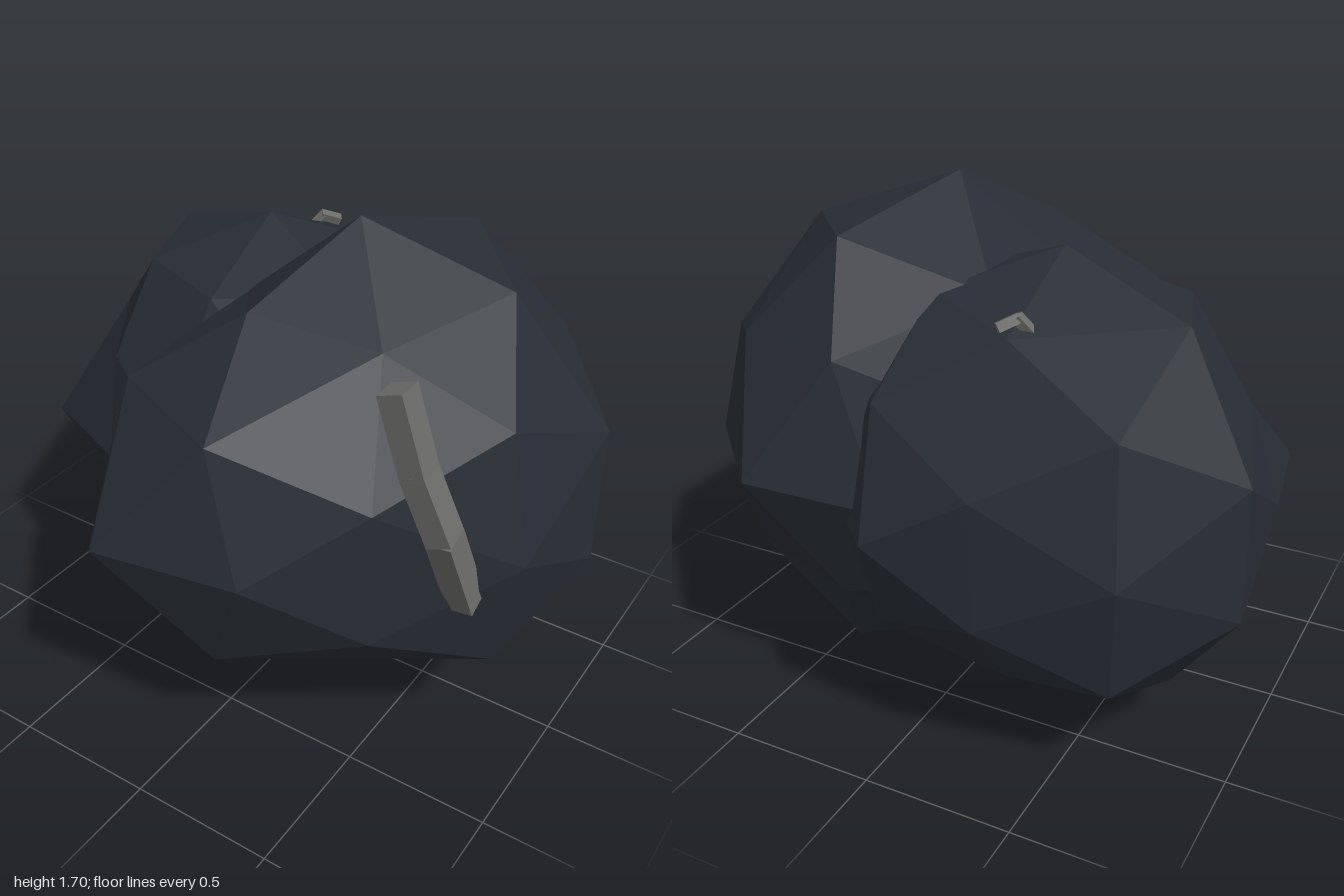
import * as THREE from 'three';

const rock = new THREE.MeshStandardMaterial({ color: 0x282d35, flatShading: true });
const seam = new THREE.MeshStandardMaterial({ color: 0x6b6b69, flatShading: true });

// Faceted lump: a subdivided icosahedron whose nearby corners are pulled to the given points.
// The points describe the upper half and are mirrored below the centre.
function lump(name, radius, centre, turn, corners) {
  const geo = new THREE.IcosahedronGeometry(radius, 1);
  geo.rotateY(turn);
  geo.translate(...centre);
  const targets = corners.flatMap(([x, y, z]) => [
    new THREE.Vector3(x, y, z), new THREE.Vector3(x, 2 * centre[1] - y, z),
  ]);
  const pos = geo.attributes.position;
  const p = new THREE.Vector3();
  for (let i = 0; i < pos.count; i++) {
    p.fromBufferAttribute(pos, i);
    const near = targets.find(t => t.distanceTo(p) < 0.24);
    if (near) pos.setXYZ(i, near.x, near.y, near.z);
  }
  geo.computeVertexNormals();
  const mesh = new THREE.Mesh(geo, rock);
  mesh.name = name;
  return mesh;
}

// Bent bar: a box for each stretch between neighbouring points
function strip(name, points, width, depth) {
  const group = new THREE.Group();
  group.name = name;
  const pts = points.map(p => new THREE.Vector3(...p));
  for (let i = 0; i < pts.length - 1; i++) {
    const length = pts[i].distanceTo(pts[i + 1]);
    const bar = new THREE.Mesh(new THREE.BoxGeometry(depth, width, length + 0.015), seam);
    bar.name = name + 'Segment';
    bar.position.copy(pts[i]).lerp(pts[i + 1], 0.5);
    bar.up.set(0, 0, 1);
    bar.lookAt(pts[i + 1]);
    group.add(bar);
  }
  return group;
}

export function createModel() {
  const model = new THREE.Group();
  model.name = 'boulder';

  // Large lump on the model's left
  model.add(lump('largeLump', 0.85, [0.18, 0.85, 0], -1.92, [
    // top, then the ring around it
    [0.18, 1.7, -0.02], [0.67, 1.53, -0.12], [0.45, 1.44, 0.29], [0.04, 1.5, 0.39],
    [-0.2, 1.38, 0.06], [-0.13, 1.42, -0.38], [0.35, 1.57, -0.49],
    // shoulder
    [0.14, 1.25, 0.75], [-0.31, 1.25, 0.55], [0.6, 1.09, 0.58], [0.86, 1.28, 0.23],
    [0.99, 1.1, -0.21], [0.68, 1.23, -0.56], [0.25, 1.25, -0.7], [-0.5, 1.08, 0.15],
    // waist
    [-0.19, 0.85, 0.92], [0.3, 0.85, 0.83], [-0.47, 0.85, 0.52],
    [0.95, 0.85, 0.26], [0.51, 0.85, -0.85], [0.84, 0.85, -0.52],
  ]));

  // Smaller lump, set back on the model's right
  model.add(lump('smallLump', 0.75, [-0.28, 0.79, -0.21], -2.53, [
    // top, then the ring around it
    [-0.28, 1.55, -0.19], [-0.62, 1.38, 0.04], [-0.74, 1.4, -0.32],
    [-0.28, 1.37, -0.58], [-0.27, 1.37, 0.17],
    // shoulder
    [-0.87, 1.1, -0.09], [-0.62, 1.1, 0.27], [-0.7, 1.2, -0.75],
    [-1, 1.01, -0.48], [-0.32, 1, -0.9],
    // waist
    [-0.92, 0.79, 0.27], [-0.55, 0.79, 0.42], [-0.99, 0.79, -0.12],
    [-0.74, 0.79, -0.83], [0.03, 0.79, -0.93],
  ]));

  // Pale bars across the surface
  model.add(strip('frontSeam', [
    [0.61, 1.46, 0.48], [0.69, 1.22, 0.48], [0.775, 1.02, 0.465], [0.81, 0.74, 0.365],
  ], 0.09, 0.085));
  model.add(strip('rearSeam', [
    [-0.33, 1.37, -0.51], [-0.29, 1.42, -0.53], [-0.25, 1.4, -0.57],
  ], 0.03, 0.03));

  return model;
}
